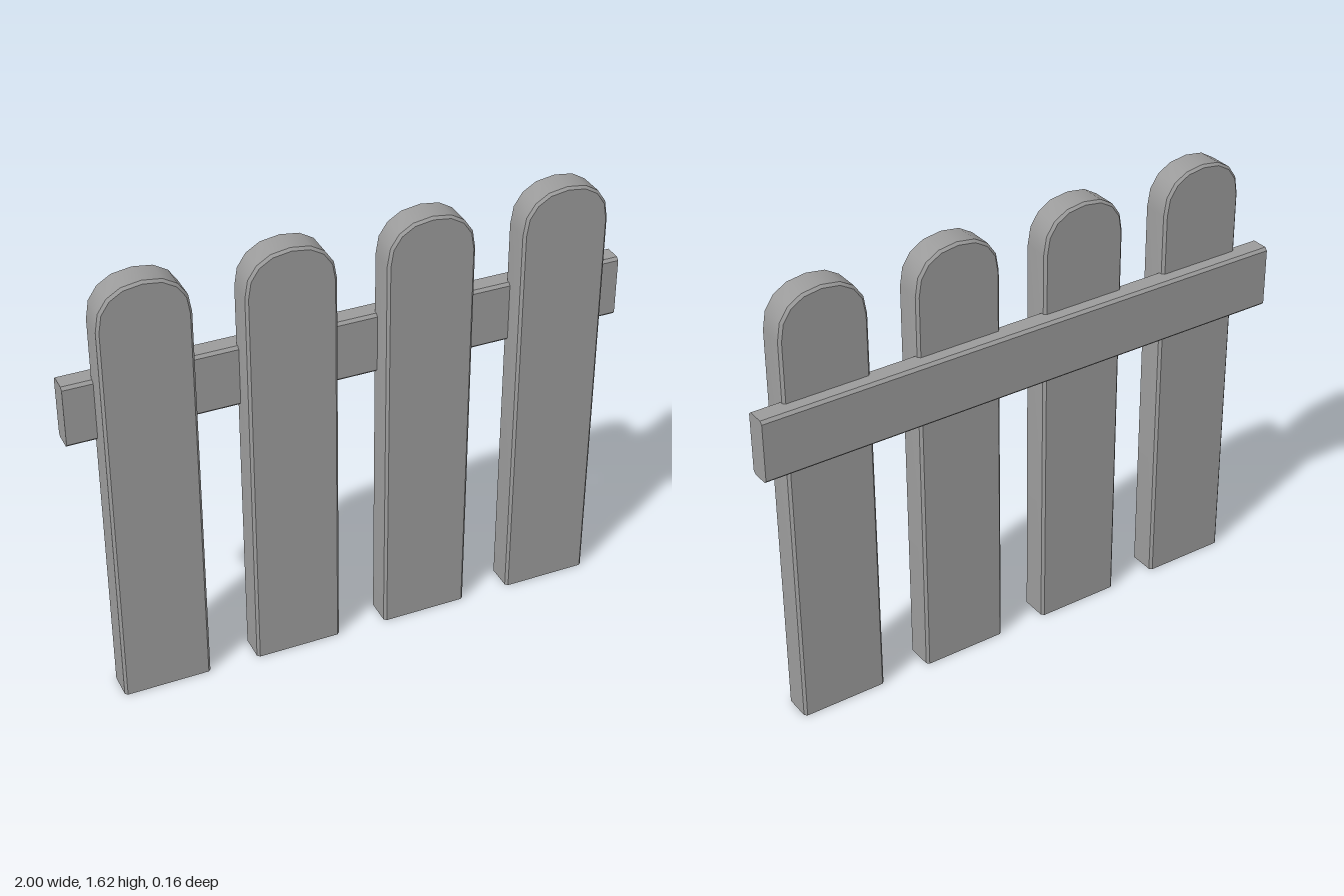
import * as THREE from 'three';
import { toCreasedNormals } from 'three/addons/utils/BufferGeometryUtils.js';

const material = new THREE.MeshStandardMaterial({ color: 0x9b9b9b });
const openMaterial = new THREE.MeshStandardMaterial({ color: 0x9b9b9b, side: THREE.DoubleSide });

// Round-topped outline, from bottom right over a slightly squared arch to bottom left.
function outline(halfWidth, shoulder, top) {
  const points = [[halfWidth, 0]];
  const steps = 8;
  const squared = (v) => Math.sign(v) * Math.abs(v) ** 0.88;
  for (let i = 0; i <= steps; i++) {
    const a = (Math.PI * i) / steps;
    points.push([
      halfWidth * squared(Math.cos(a)),
      shoulder + (top - shoulder) * squared(Math.sin(a)),
    ]);
  }
  points.push([-halfWidth, 0]);
  return points;
}

// Bevelled board with an open foot, built from four outlines front to back.
function picketGeometry() {
  const full = outline(0.158, 1.47, 1.62);
  const inset = outline(0.149, 1.47, 1.611);
  const rings = [[inset, 0.08], [full, 0.071], [full, -0.02], [inset, -0.029]];
  const n = full.length;
  const positions = [];
  const index = [];
  for (const [ring, z] of rings) for (const [x, y] of ring) positions.push(x, y, z);
  for (let r = 0; r < 3; r++) {
    for (let i = 0; i < n - 1; i++) {
      const a = r * n + i;
      const b = a + n;
      index.push(a, b, a + 1, a + 1, b, b + 1);
    }
  }
  // Front and back faces as fans
  for (let i = 1; i < n - 1; i++) {
    index.push(0, i, i + 1);
    index.push(3 * n, 3 * n + i + 1, 3 * n + i);
  }
  const geometry = new THREE.BufferGeometry();
  geometry.setAttribute('position', new THREE.Float32BufferAttribute(positions, 3));
  geometry.setIndex(index);
  return toCreasedNormals(geometry, Math.PI / 5);
}

// Long bar with chamfered long edges and flat ends, running along x.
function railGeometry() {
  const w = 0.04, h = 0.114, c = 0.01;
  const profile = new THREE.Shape([
    [w - c, -h], [w, -h + c], [w, h - c], [w - c, h],
    [-w + c, h], [-w, h - c], [-w, -h + c], [-w + c, -h],
  ].map(([x, y]) => new THREE.Vector2(x, y)));
  return new THREE.ExtrudeGeometry(profile, { depth: 2, bevelEnabled: false })
    .translate(0, 0, -1)
    .rotateY(Math.PI / 2);
}

export function createModel() {
  const fence = new THREE.Group();
  fence.name = 'picketFence';

  // Four evenly spaced pickets
  const board = picketGeometry();
  for (let i = 0; i < 4; i++) {
    const picket = new THREE.Mesh(board, openMaterial);
    picket.name = `picket${i + 1}`;
    picket.position.x = (i - 1.5) * 0.492;
    fence.add(picket);
  }

  // Rail behind the pickets
  const rail = new THREE.Mesh(railGeometry(), material);
  rail.name = 'rail';
  rail.position.set(0, 1.137, -0.04);
  fence.add(rail);

  return fence;
}
